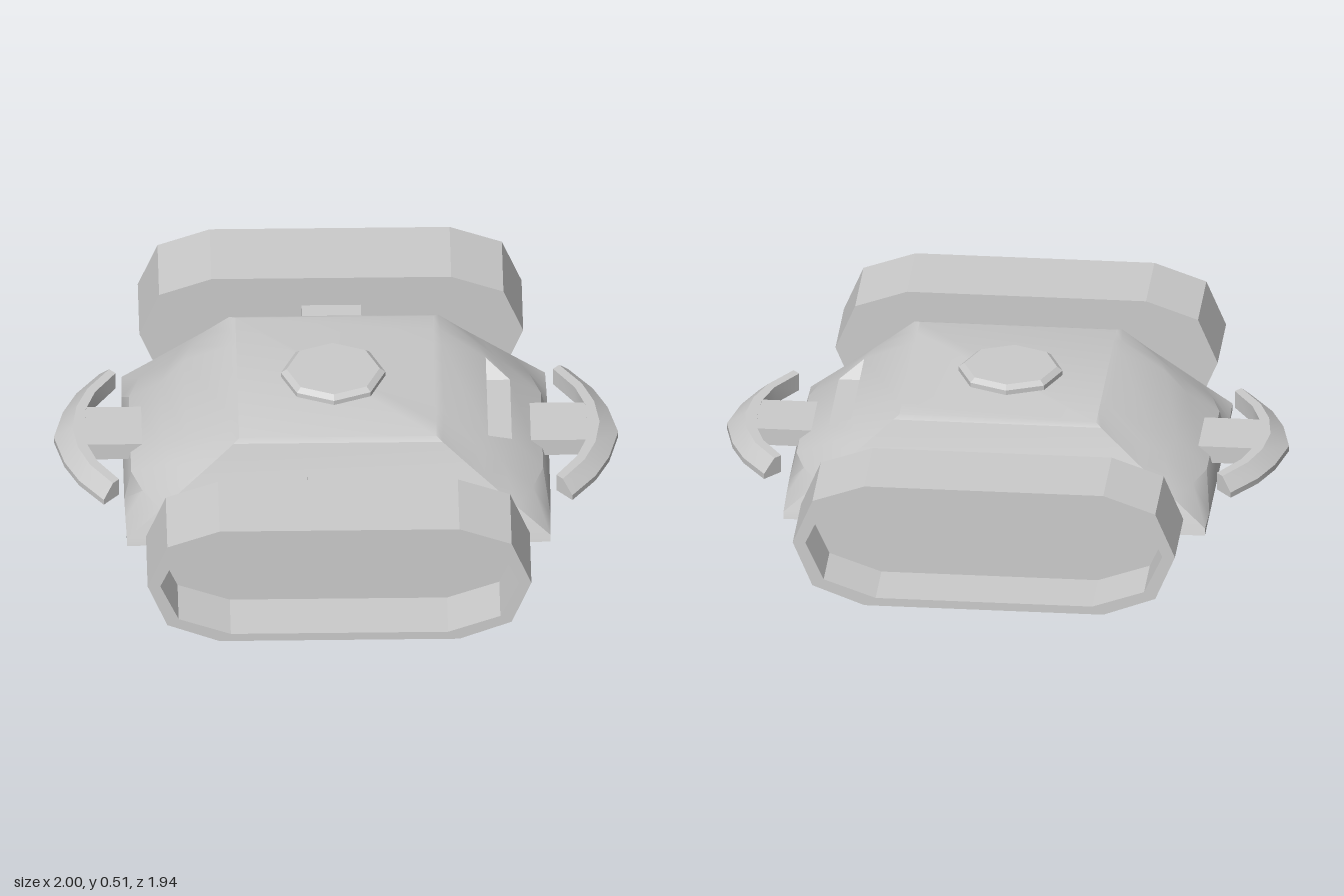
import * as THREE from 'three';
import { toCreasedNormals } from 'three/addons/utils/BufferGeometryUtils.js';

const grey = () => new THREE.MeshStandardMaterial({ color: 0xcccccc });
const v = (x, y, z) => new THREE.Vector3(x, y, z);

function add(parent, name, geometry, x = 0, y = 0, z = 0) {
  const mesh = new THREE.Mesh(geometry, grey());
  mesh.name = name;
  mesh.position.set(x, y, z);
  parent.add(mesh);
  return mesh;
}

// Collects convex faces, each turned to face away from a reference point
class Faces {
  constructor() { this.data = []; }
  face(points, inside) {
    const centre = points.reduce((s, p) => s.add(p), v(0, 0, 0)).divideScalar(points.length);
    const normal = v(0, 0, 0);
    points.forEach((p, i) => {
      const q = points[(i + 1) % points.length];
      normal.add(p.clone().sub(centre).cross(q.clone().sub(centre)));
    });
    const pts = normal.dot(centre.sub(inside)) < 0 ? [...points].reverse() : points;
    for (let i = 1; i < pts.length - 1; i++) {
      for (const p of [pts[0], pts[i], pts[i + 1]]) this.data.push(p.x, p.y, p.z);
    }
  }
  build(crease) {
    const g = new THREE.BufferGeometry();
    g.setAttribute('position', new THREE.Float32BufferAttribute(this.data, 3));
    return toCreasedNormals(g, crease);
  }
}

// Hull: levels of [y, half width, half depth, side bulge, flat half length]
function hullGeometry() {
  const levels = [
    [0.475, 0.35, 0.385, 0, 0.2],
    [0.465, 0.37, 0.408, 0.008, 0.22],
    [0.385, 0.46, 0.433, 0.075, 0.25],
    [0.33, 0.525, 0.453, 0.095, 0.19],
    [0.24, 0.63, 0.485, 0.1, 0.24],
    [0.14, 0.75, 0.52, 0.005, 0.26],
    [0.115, 0.75, 0.527, 0, 0.26],
  ];
  const f = new Faces(), core = v(0, 0.25, 0);
  const row = ([y, hx, hz, bulge, flat], side) => {
    const mid = (flat + hz) / 2;
    return [[-hz, 0], [-mid, 0.62], [-flat, 1], [flat, 1], [mid, 0.62], [hz, 0]]
      .map(([z, k]) => v(side * (hx + bulge * k), y, z));
  };
  for (let i = 0; i < levels.length - 1; i++) {
    const rows = [-1, 1].map((s) => [row(levels[i], s), row(levels[i + 1], s)]);
    rows.forEach(([a, b], s) => {
      for (let j = 0; j < 5; j++) {
        if (s === 1 && i === 2 && j === 2) {
          // Notch on the left side: upright back wall, level floor, sloped ends
          const inner = [b[2], b[3]].map((p) => v(a[2].x, p.y, p.z));
          const under = v(0.5, 0.2, 0);
          f.face([a[2], a[3], inner[1], inner[0]], under);
          f.face([inner[0], inner[1], b[3], b[2]], under);
          f.face([a[2], b[2], inner[0]], v(0.57, 0.3, -0.6));
          f.face([a[3], b[3], inner[1]], v(0.57, 0.3, 0.6));
        } else {
          f.face([a[j], a[j + 1], b[j + 1], b[j]], core);
        }
      }
    });
    // Front and back slopes
    for (const j of [0, 5]) {
      const [l, r] = rows;
      f.face([l[0][j], r[0][j], r[1][j], l[1][j]], core);
    }
  }
  // Roof and floor
  for (const level of [levels[0], levels[levels.length - 1]]) {
    f.face([...row(level, 1), ...row(level, -1).reverse()], core);
  }
  return f.build(0.5);
}

// Curved side guard: sections swept along z
function guardGeometry(side) {
  const half = [ // outer x, outer z, inner x, inner z
    [1.0, 0, 0.89, 0],
    [0.965, 0.16, 0.885, 0.11],
    [0.915, 0.28, 0.85, 0.22],
    [0.83, 0.405, 0.775, 0.34],
  ];
  const path = [...half.slice(1).reverse().map(([a, b, c, d]) => [a, -b, c, -d]), ...half];
  const sections = path.map(([ox, oz, ix, iz]) => {
    const at = (t, y) => v(side * THREE.MathUtils.lerp(ix, ox, t), y, THREE.MathUtils.lerp(iz, oz, t));
    return [at(1, 0.21), at(1, 0.23), at(0.4, 0.275), at(0, 0.275), at(0, 0.21)];
  });
  const f = new Faces();
  const centre = (pts) => pts.reduce((s, p) => s.add(p), v(0, 0, 0)).divideScalar(pts.length);
  for (let i = 0; i < sections.length - 1; i++) {
    const a = sections[i], b = sections[i + 1], mid = centre([...a, ...b]);
    for (let j = 0; j < 5; j++) {
      const k = (j + 1) % 5;
      f.face([a[j], a[k], b[k], b[j]], mid);
    }
  }
  f.face(sections[0], centre([...sections[1]]));
  f.face(sections[6], centre([...sections[5]]));
  return f.build(0.6);
}

// Ten-sided pod outline from its right-hand half
function outline(points, Type) {
  const mirrored = [...points].reverse().map(([x, y]) => [-x, y]);
  return new Type([...points, ...mirrored].map(([x, y]) => new THREE.Vector2(x, y)));
}
const podOuter = [[0.425, 0], [0.61, 0.07], [0.68, 0.235], [0.61, 0.4], [0.425, 0.465]];
const podInner = [[0.385, 0.03], [0.57, 0.095], [0.635, 0.235], [0.57, 0.375], [0.385, 0.44]];

function createPod() {
  const pod = new THREE.Group();
  const rim = outline(podOuter, THREE.Shape);
  rim.holes.push(outline(podInner, THREE.Path));
  const options = (depth) => ({ depth, bevelEnabled: false });
  add(pod, 'podRim', new THREE.ExtrudeGeometry(rim, options(0.22)), -0.005, 0, 0.75);
  const plate = outline(podOuter, THREE.Shape);
  add(pod, 'podBackPlate', new THREE.ExtrudeGeometry(plate, options(0.1)), -0.005, 0, 0.65);
  add(pod, 'strut', new THREE.BoxGeometry(0.21, 0.23, 0.27), -0.005, 0.235, 0.535);
  return pod;
}

export function createModel() {
  const model = new THREE.Group();
  model.name = 'vehicle';
  add(model, 'hull', hullGeometry());

  // Octagonal hatch with a bevelled top
  const hatch = new THREE.LatheGeometry(
    [[0, 0.46], [0.185, 0.46], [0.185, 0.492], [0.165, 0.507], [0, 0.507]]
      .map(([x, y]) => new THREE.Vector2(x, y)), 8);
  add(model, 'hatch', toCreasedNormals(hatch, 0.3), -0.01, 0, -0.005);

  // Side pods at front and back, open outwards
  for (const [name, turn] of [['frontPod', 0], ['backPod', Math.PI]]) {
    const pod = createPod();
    pod.name = name;
    pod.rotation.y = turn;
    // Both pods share the same small offset in x
    if (turn) pod.position.x = -0.01;
    model.add(pod);
  }

  // Guards with their mounting arms
  for (const [name, side] of [['left', 1], ['right', -1]]) {
    add(model, name + 'Guard', guardGeometry(side));
    add(model, name + 'GuardArm', new THREE.BoxGeometry(0.24, 0.063, 0.24), side * 0.78, 0.2425, -0.005);
  }
  return model;
}
